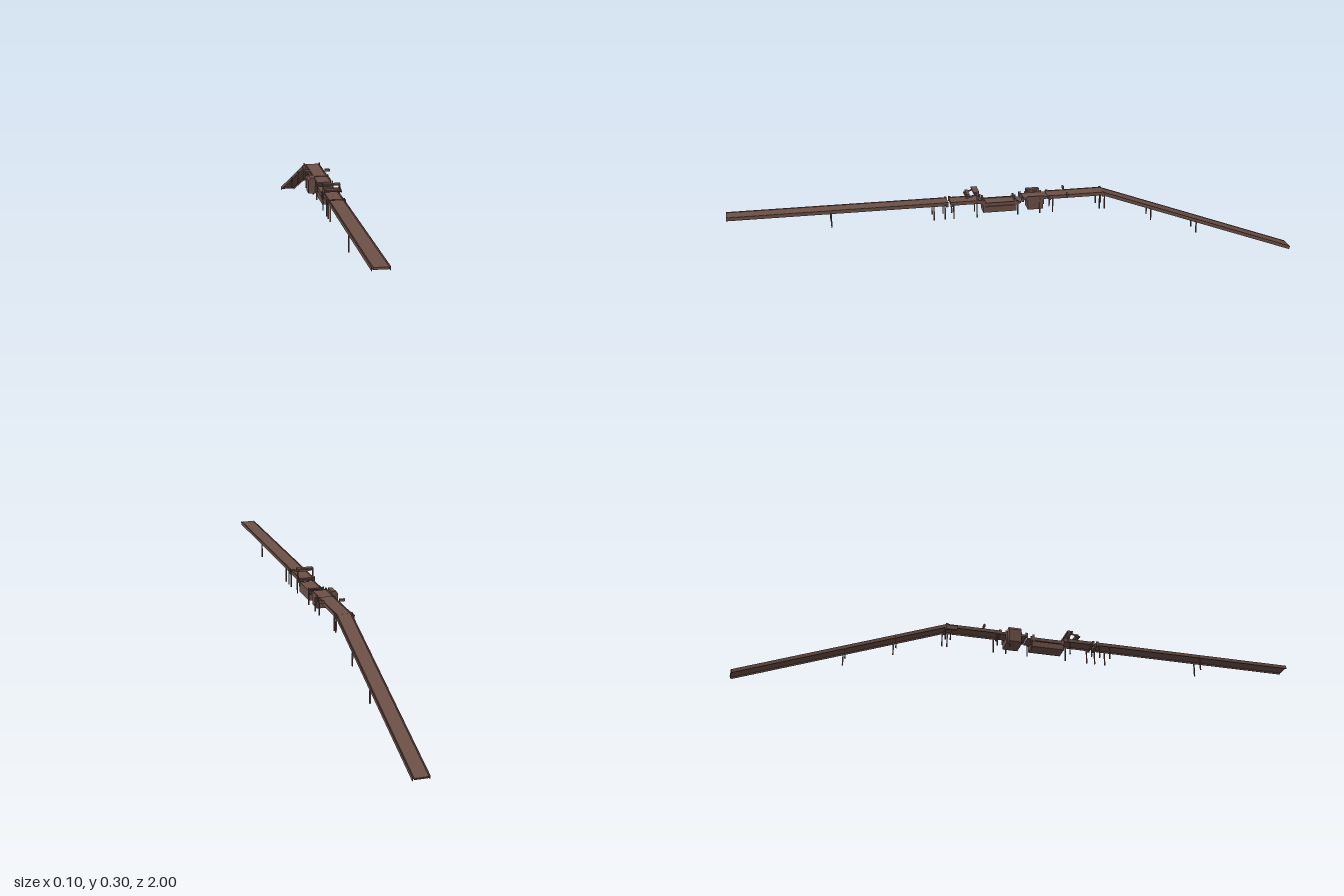
import * as THREE from 'three';

const CX = 0.0025; // conveyor centre line
const TOP = 0.273; // top of the side rails
const RAIL_X = 0.0265;

export function createModel() {
  const root = new THREE.Group();
  const mat = new THREE.MeshStandardMaterial({ color: 0x6d5048, flatShading: true });

  // box given by its limits
  const box = (parent, name, x0, x1, y0, y1, z0, z1) => {
    const m = new THREE.Mesh(new THREE.BoxGeometry(x1 - x0, y1 - y0, z1 - z0), mat);
    m.position.set((x0 + x1) / 2, (y0 + y1) / 2, (z0 + z1) / 2);
    m.name = name;
    parent.add(m);
    return m;
  };
  // round bar lying across the conveyor
  const roller = (parent, name, x, y, z, r, len, sides = 10) => {
    const m = new THREE.Mesh(new THREE.CylinderGeometry(r, r, len, sides), mat);
    m.rotation.z = Math.PI / 2;
    m.position.set(x, y, z);
    m.name = name;
    parent.add(m);
  };

  // belt section: its top is y = 0, running from z = 0 to z = -length
  const belt = (name, length) => {
    const g = new THREE.Group();
    g.name = name;
    box(g, 'belt', -0.0225, 0.0225, -0.008, -0.001, -length, 0);
    for (const s of [-1, 1]) {
      const x = s * RAIL_X;
      box(g, 'sideRail', x - 0.0007, x + 0.0007, -0.012, 0, -length, 0);
    }
    const n = Math.max(1, Math.round(length / 0.06));
    for (let i = 0; i <= n; i++) {
      const z = -0.004 - (length - 0.008) * i / n;
      roller(g, 'axle', 0, -0.006, z, 0.0012, RAIL_X * 2, 6);
    }
    root.add(g);
    return g;
  };

  // level sections [front z, back z]
  const sections = [[1, 0.258], [0.25, 0.145], [-0.088, -0.285]];
  for (const [z0, z1] of sections) {
    belt('levelConveyor', z0 - z1).position.set(CX, TOP, z0);
  }

  // sloping section down to the ground
  const drop = TOP - 0.0115, run = 0.711;
  const ramp = belt('rampConveyor', Math.hypot(drop, run));
  ramp.position.set(CX, TOP, -0.285);
  ramp.rotation.x = -Math.atan2(drop, run);

  // pairs of legs [z, top, bottom]
  const legs = [0.655, 0.308, 0.27, 0.24, 0.16, 0.018, -0.06, -0.105, -0.272, -0.29]
    .map((z) => [z, 0.265, 0.213]);
  legs.push([-0.46, 0.203, 0.157], [-0.63, 0.141, 0.096]);
  for (const [z, y1, y0] of legs) {
    for (const s of [-1, 1]) {
      const x = CX + s * 0.0285;
      box(root, 'leg', x - 0.002, x + 0.002, y0, y1, z - 0.002, z + 0.002);
    }
  }

  // cross members where sections meet
  for (const z of [0.262, 0.247, 0.142, 0.001, -0.095, -0.285]) {
    box(root, 'crossMember', CX - 0.03, CX + 0.03, 0.26, 0.267, z - 0.003, z + 0.003);
    for (const s of [-1, 1]) {
      const x = CX + s * 0.0285;
      box(root, 'joint', x - 0.002, x + 0.002, 0.258, 0.275, z - 0.004, z + 0.004);
    }
  }
  box(root, 'driveBox', -0.034, -0.025, 0.25, 0.266, -0.288, -0.25);

  // lowered weighing station
  const scale = new THREE.Group();
  scale.name = 'weighingStation';
  root.add(scale);
  box(scale, 'housing', CX - 0.027, CX + 0.027, 0.227, 0.248, 0.022, 0.138);
  box(scale, 'platform', CX - 0.025, CX + 0.025, 0.252, 0.259, 0.005, 0.14);
  for (const s of [-1, 1]) {
    const x = CX + s * 0.0265;
    box(scale, 'platformRail', x - 0.001, x + 0.001, 0.25, 0.262, 0.02, 0.14);
    for (const z of [0.026, 0.134]) {
      box(scale, 'support', x - 0.002, x + 0.002, 0.245, 0.272, z - 0.003, z + 0.003);
    }
  }
  for (const z of [0.026, 0.134]) roller(scale, 'endRoller', CX, 0.266, z, 0.004, 0.05);

  // sorting unit with its side cabinet
  const sorter = new THREE.Group();
  sorter.name = 'sortingUnit';
  root.add(sorter);
  box(sorter, 'housing', CX - 0.027, CX + 0.027, 0.227, 0.25, -0.072, -0.018);
  box(sorter, 'deck', CX - 0.025, CX + 0.025, 0.262, 0.27, -0.09, -0.003);
  for (const s of [-1, 1]) {
    const x = CX + s * 0.026;
    box(sorter, 'sidePlate', x - 0.0015, x + 0.0015, 0.245, 0.275, -0.075, -0.015);
  }
  const outline = new THREE.Shape([
    [-0.048, 0.226], [-0.025, 0.226], [-0.025, 0.282], [-0.041, 0.282], [-0.048, 0.272],
  ].map(([x, y]) => new THREE.Vector2(x, y)));
  const cabinet = new THREE.Mesh(
    new THREE.ExtrudeGeometry(outline, { depth: 0.045, bevelEnabled: false }), mat);
  cabinet.position.z = -0.068;
  cabinet.name = 'sideCabinet';
  sorter.add(cabinet);

  // sensor bars on both sides
  box(root, 'sensorBar', -0.043, -0.024, 0.273, 0.282, -0.158, -0.152);
  box(root, 'sensorBar', 0.029, 0.048, 0.273, 0.282, -0.158, -0.152);

  // overhead frame with a sloping arm and a roller
  const gate = new THREE.Group();
  gate.name = 'overheadFrame';
  root.add(gate);
  for (const s of [-1, 1]) {
    const x = CX + s * 0.0275;
    box(gate, 'post', x - 0.002, x + 0.002, 0.262, 0.305, 0.154, 0.16);
    const arm = box(gate, 'arm', x - 0.0015, x + 0.0015, 0.289, 0.294, 0.152, 0.2);
    arm.rotation.x = 0.3;
  }
  box(gate, 'topBeam', CX - 0.029, CX + 0.029, 0.3, 0.305, 0.152, 0.172);
  box(gate, 'pressBar', CX - 0.024, CX + 0.024, 0.284, 0.297, 0.184, 0.194);
  roller(gate, 'pressAxle', CX, 0.287, 0.196, 0.003, 0.056);
  return root;
}
